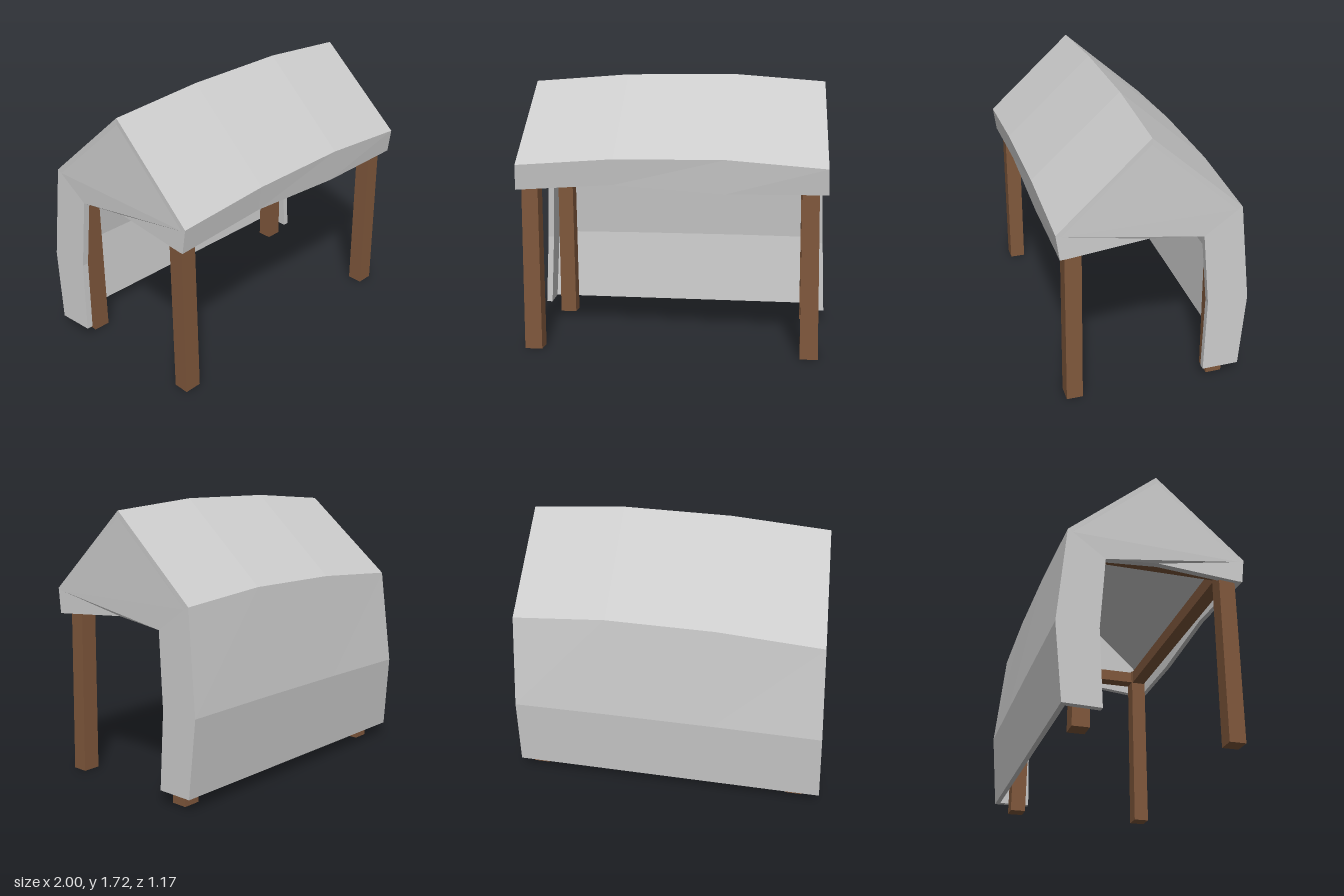
import * as THREE from 'three';

const cloth = new THREE.MeshStandardMaterial({ color: 0xcccccc, flatShading: true });
const wood = new THREE.MeshStandardMaterial({ color: 0x80583c, flatShading: true });
const THICK = 0.04;

// x of the slightly flared gable ends, depending on height and depth
const leftEnd = (y, z) => -0.91 - 0.08 * Math.max(0, 0.04 - z) - 0.037 * Math.max(0, 1.17 - y);
const rightEnd = (y, z) => 0.965 + 0.037 * Math.max(0, z - 0.04) + 0.032 * Math.max(0, 1.17 - y);

// Cloth section as [z, y]: front hem, front eave, ridge, back eave, back middle, back bottom
const outer = [[0.57, 1.015], [0.59, 1.17], [0.04, 1.67], [-0.52, 1.17], [-0.585, 0.555], [-0.545, 0.08]];
const inner = [[0.54, 1.015], [0.56, 1.155], [0.04, 1.63], [-0.49, 1.155], [-0.555, 0.555], [-0.515, 0.08]];

// Stations along x; lifts raise the hem, the roof and the back wall in turn
const stations = [
  { x: leftEnd, lift: [0, 0, 0, 0, 0, 0] },
  { x: () => -0.3, lift: [0.04, 0.043, 0.043, 0.043, 0.005, 0] },
  { x: () => 0.38, lift: [-0.005, 0.047, 0.047, 0.047, 0.005, 0] },
  { x: rightEnd, lift: [0, 0, 0, 0, 0, 0] },
];

function canopyGeometry() {
  const pos = [];
  const quad = (a, b, c, d) => pos.push(...a, ...b, ...c, ...a, ...c, ...d);
  const rings = stations.map(({ x, lift }) => {
    const place = ([z, y], i) => [x(y, z), y + lift[i], z];
    return [...outer.map(place), ...inner.map(place).reverse()];
  });
  const n = rings[0].length;
  for (let s = 0; s < rings.length - 1; s++) {
    for (let j = 0; j < n; j++) {
      const k = (j + 1) % n;
      quad(rings[s][j], rings[s + 1][j], rings[s + 1][k], rings[s][k]);
    }
  }
  // Cloth edges at both ends
  const l = rings[0], r = rings[rings.length - 1];
  for (let j = 0; j < outer.length - 1; j++) {
    quad(r[j], r[n - 1 - j], r[n - 2 - j], r[j + 1]);
    quad(l[j], l[j + 1], l[n - 2 - j], l[n - 1 - j]);
  }
  const g = new THREE.BufferGeometry();
  g.setAttribute('position', new THREE.Float32BufferAttribute(pos, 3));
  g.computeVertexNormals();
  return g;
}

// End panel with its cut-out hem and the narrow wing beside the back wall
function gableGeometry(side) {
  const hem = [[-0.315, 0.08], [-0.33, 0.555], [-0.29, 1.015], [0.04, 1.055]];
  const outline = [...inner, ...hem].map(([z, y]) => new THREE.Vector2(-z, y));
  const g = new THREE.ExtrudeGeometry(new THREE.Shape(outline), { depth: THICK, bevelEnabled: false });
  g.rotateY(Math.PI / 2);
  const p = g.attributes.position;
  for (let i = 0; i < p.count; i++) {
    const y = p.getY(i), z = p.getZ(i);
    p.setX(i, p.getX(i) + (side > 0 ? rightEnd(y, z) - THICK : leftEnd(y, z)));
  }
  g.computeVertexNormals();
  return g;
}

// Square post leaning slightly from its foot to its top
function postGeometry(x, z, dx, dz) {
  const h = 1.16;
  const g = new THREE.BoxGeometry(0.11, h, 0.1).translate(x, h / 2, z);
  const p = g.attributes.position;
  for (let i = 0; i < p.count; i++) {
    const t = p.getY(i) / h;
    p.setX(i, x + (p.getX(i) - x) * (1 - 0.07 * t) + dx * t);
    p.setZ(i, p.getZ(i) + dz * t);
  }
  g.computeVertexNormals();
  return g;
}

export function createModel() {
  const group = new THREE.Group();
  const add = (name, geometry, material) => {
    const mesh = new THREE.Mesh(geometry, material);
    mesh.name = name;
    group.add(mesh);
  };

  add('canopy', canopyGeometry(), cloth);
  add('leftGable', gableGeometry(1), cloth);
  add('rightGable', gableGeometry(-1), cloth);

  for (const [side, x] of [['left', 0.89], ['right', -0.83]]) {
    add(side + 'FrontPost', postGeometry(x, 0.49, -0.008, -0.01), wood);
    add(side + 'BackPost', postGeometry(x, -0.41, -0.008, 0.01), wood);
    // Beam from front to back
    add(side + 'Beam', new THREE.BoxGeometry(0.09, 0.08, 0.78).translate(x - 0.008, 1.11, 0.04), wood);
  }
  // Beams along the eaves
  for (const [name, z] of [['frontBeam', 0.48], ['backBeam', -0.4]]) {
    add(name, new THREE.BoxGeometry(1.62, 0.09, 0.09).translate(0.022, 1.11, z), wood);
  }
  return group;
}
